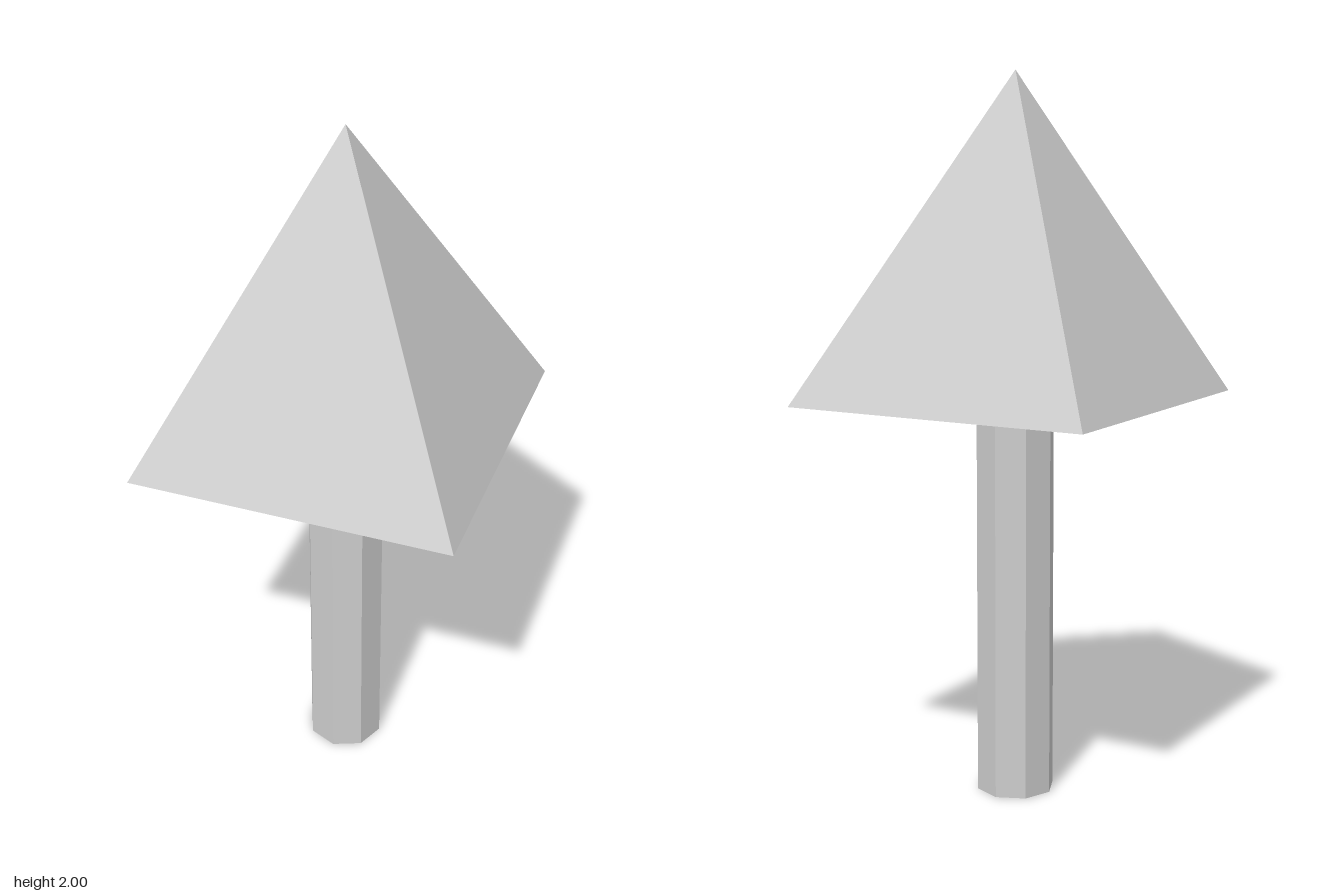
import * as THREE from 'three';

export function createModel() {
  const model = new THREE.Group();
  const material = new THREE.MeshStandardMaterial({ color: 0xcccccc, flatShading: true });

  const trunkHeight = 1.115;
  const crownHeight = 2 - trunkHeight;
  const crownHalfWidth = 0.443;

  // Eight-sided trunk
  const trunk = new THREE.Mesh(new THREE.CylinderGeometry(0.11, 0.11, trunkHeight, 8), material);
  trunk.name = 'trunk';
  trunk.position.y = trunkHeight / 2;
  model.add(trunk);

  // Square pyramid crown, its sides facing along x and z
  const crownGeometry = new THREE.ConeGeometry(crownHalfWidth * Math.SQRT2, crownHeight, 4);
  crownGeometry.rotateY(Math.PI / 4);
  const crown = new THREE.Mesh(crownGeometry, material);
  crown.name = 'crown';
  crown.position.y = trunkHeight + crownHeight / 2;
  model.add(crown);

  return model;
}
